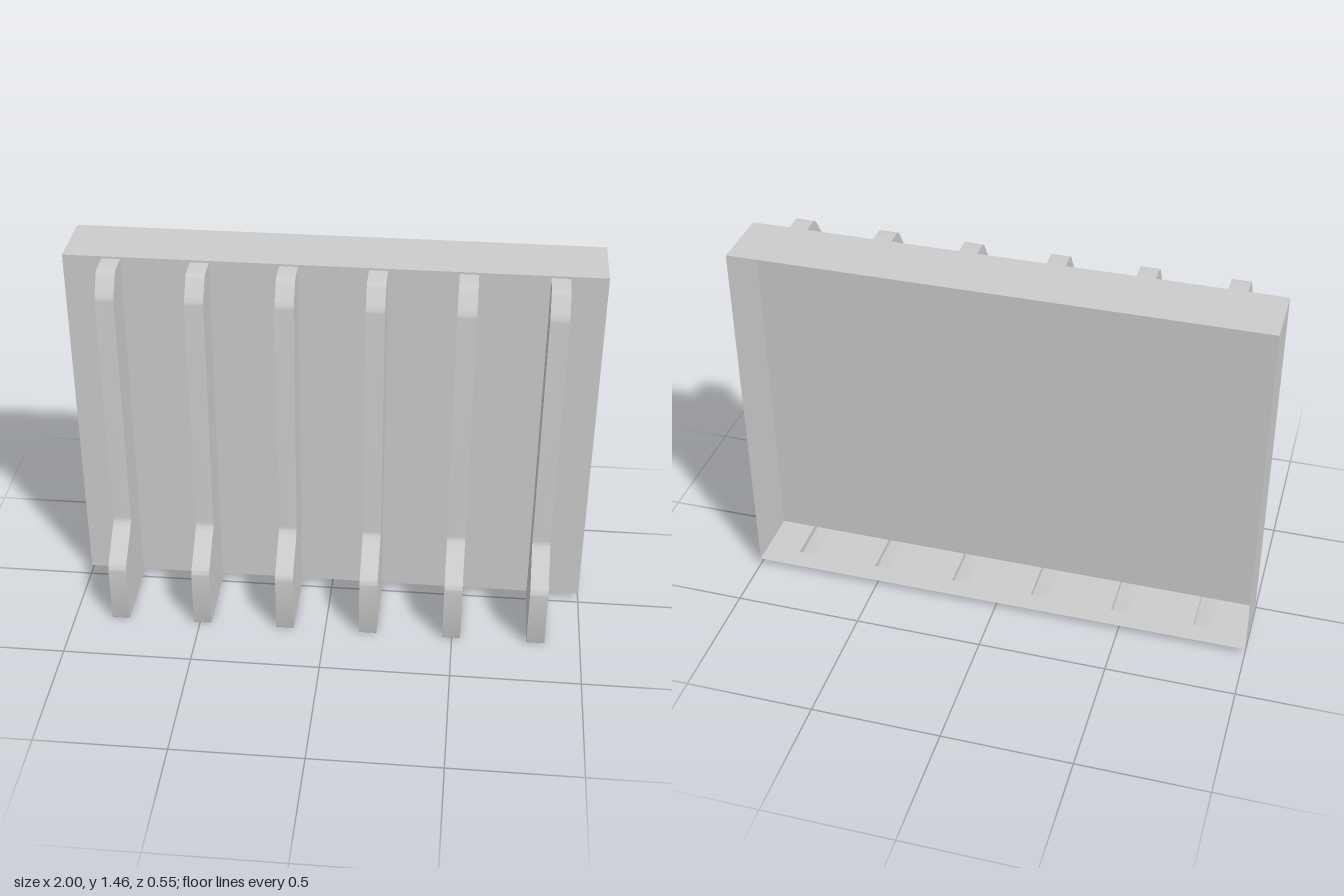
import * as THREE from 'three';
import { toCreasedNormals } from 'three/addons/utils/BufferGeometryUtils.js';

const BACK = -0.277, PANEL = -0.023, FLOOR = 0.025, TOP = 1.455;
const FIN_W = 0.07, FOOT_BACK = -0.195;
const FIN_X = Array.from({ length: 6 }, (_, i) => -0.818 + i * 0.329);

const material = new THREE.MeshStandardMaterial({ color: 0xcccccc, side: THREE.DoubleSide });

function add(parent, name, geometry) {
  const mesh = new THREE.Mesh(geometry, material);
  mesh.name = name;
  parent.add(mesh);
  return mesh;
}

// Fin outline in (z, y) from the panel top round to the foot, corners softened by radius r
function finOutline() {
  const corners = [
    [PANEL, 1.447, 0], [0.07, 1.447, 0.02], [0.13, 1.36, 0.02], [0.13, 0.37, 0.02],
    [0.277, 0.248, 0.02], [0.277, 0, 0.008], [FOOT_BACK, 0, 0.012], [FOOT_BACK, FLOOR, 0],
  ];
  const points = [];
  corners.forEach(([z, y, r], i) => {
    const p = new THREE.Vector2(z, y);
    if (!r) return points.push(p);
    const toward = ([a, b]) => new THREE.Vector2(a, b).sub(p).setLength(r).add(p);
    const curve = new THREE.QuadraticBezierCurve(toward(corners[i - 1]), p, toward(corners[i + 1]));
    points.push(...curve.getPoints(5));
  });
  return points;
}

// Rim of the fin: the outline swept across its width, open towards the tray
function rimGeometry(outline) {
  const positions = [], index = [];
  outline.forEach((p, i) => {
    positions.push(-FIN_W / 2, p.y, p.x, FIN_W / 2, p.y, p.x);
    const a = 2 * i;
    if (i) index.push(a - 2, a, a - 1, a - 1, a, a + 1);
  });
  const g = new THREE.BufferGeometry();
  g.setAttribute('position', new THREE.Float32BufferAttribute(positions, 3));
  g.setIndex(index);
  return toCreasedNormals(g, 0.5);
}

export function createModel() {
  const model = new THREE.Group();
  model.name = 'finnedTray';

  // Open-backed tray
  const tray = new THREE.Group();
  tray.name = 'tray';
  model.add(tray);
  const depth = PANEL - BACK, height = TOP - FLOOR;
  const midZ = (PANEL + BACK) / 2, midY = (TOP + FLOOR) / 2;
  add(tray, 'frontPanel', new THREE.PlaneGeometry(2, height)).position.set(0, midY, PANEL);
  add(tray, 'topWall', new THREE.PlaneGeometry(2, depth).rotateX(-Math.PI / 2)).position.set(0, TOP, midZ);
  for (const s of [-1, 1]) {
    const wall = new THREE.PlaneGeometry(depth, height).rotateY(s * Math.PI / 2);
    add(tray, s > 0 ? 'leftWall' : 'rightWall', wall).position.set(s, midY, midZ);
  }

  // Tray floor, notched where the hollow fin feet pass below it
  const floor = new THREE.Shape();
  floor.moveTo(-1, BACK).lineTo(-1, PANEL);
  for (const x of FIN_X) {
    const l = x - FIN_W / 2, r = x + FIN_W / 2;
    floor.lineTo(l, PANEL).lineTo(l, FOOT_BACK).lineTo(r, FOOT_BACK).lineTo(r, PANEL);
  }
  floor.lineTo(1, PANEL).lineTo(1, BACK);
  add(tray, 'floor', new THREE.ShapeGeometry(floor).rotateX(Math.PI / 2)).position.y = FLOOR;

  // Row of hollow fins
  const outline = finOutline();
  const rim = rimGeometry(outline);
  const sideShape = new THREE.Shape([...outline, new THREE.Vector2(PANEL, FLOOR)]);
  const side = new THREE.ShapeGeometry(sideShape).rotateY(-Math.PI / 2);
  for (const x of FIN_X) {
    const fin = new THREE.Group();
    fin.name = 'fin';
    fin.position.x = x;
    add(fin, 'finRim', rim);
    add(fin, 'finRightSide', side).position.x = -FIN_W / 2;
    add(fin, 'finLeftSide', side).position.x = FIN_W / 2;
    model.add(fin);
  }
  return model;
}
